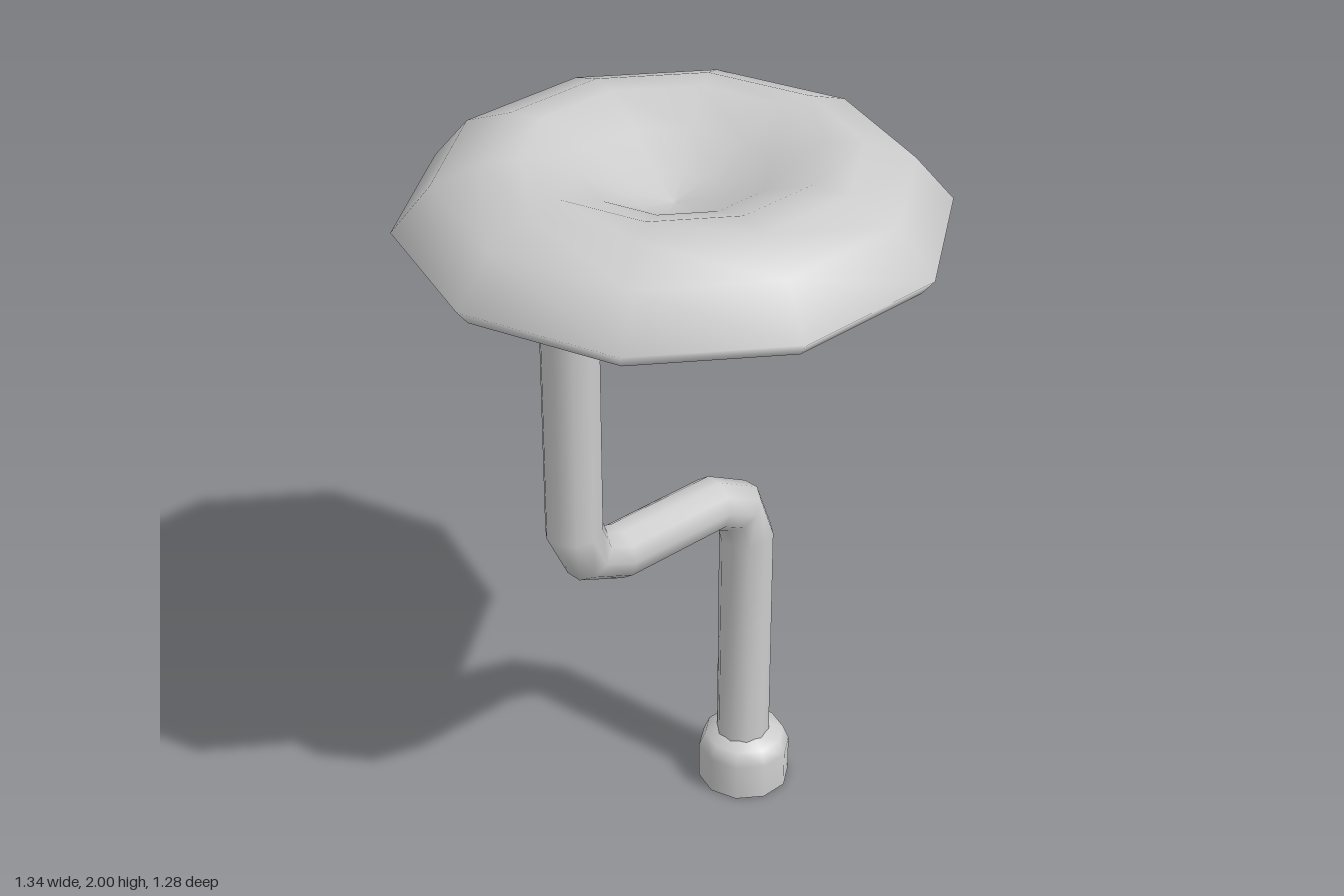
import * as THREE from 'three';

const SIDES = 10;
const material = new THREE.MeshStandardMaterial({ color: 0xcccccc, side: THREE.DoubleSide });

// Ten-sided turned part with a corner on +x; profile runs from bottom to top
function lathe(name, profile) {
  const points = profile.map(([r, y]) => new THREE.Vector2(r, y));
  const mesh = new THREE.Mesh(new THREE.LatheGeometry(points, SIDES, Math.PI / 2), material);
  mesh.name = name;
  return mesh;
}

// Bent pipe: each ring is given by its two opposite edges in the xy plane
function bentPipe(name, rings, depth) {
  const positions = [], index = [], row = SIDES + 1;
  const stretch = 1 / Math.cos(Math.PI / SIDES);
  rings.forEach(([lx, ly, rx, ry], k) => {
    for (let i = 0; i <= SIDES; i++) {
      const t = ((i % SIDES) + 0.5) * 2 * Math.PI / SIDES;
      const c = Math.cos(t) * stretch / 2;
      positions.push((lx + rx) / 2 + c * (rx - lx), (ly + ry) / 2 + c * (ry - ly), Math.sin(t) * depth);
      if (k < rings.length - 1 && i < SIDES) {
        const a = k * row + i;
        index.push(a, a + row, a + 1, a + row, a + row + 1, a + 1);
      }
    }
  });
  const geometry = new THREE.BufferGeometry();
  geometry.setAttribute('position', new THREE.Float32BufferAttribute(positions, 3));
  geometry.setIndex(index);
  geometry.computeVertexNormals();
  // Share the normals across the seam
  const n = geometry.attributes.normal, v = new THREE.Vector3(), w = new THREE.Vector3();
  for (let k = 0; k < rings.length; k++) {
    const a = k * row, b = a + SIDES;
    v.fromBufferAttribute(n, a).add(w.fromBufferAttribute(n, b)).normalize();
    n.setXYZ(a, v.x, v.y, v.z);
    n.setXYZ(b, v.x, v.y, v.z);
  }
  const mesh = new THREE.Mesh(geometry, material);
  mesh.name = name;
  return mesh;
}

export function createModel() {
  const group = new THREE.Group();
  group.name = 'stool';

  // Dished cushion and its flat underside
  group.add(lathe('seat', [
    [0.64, 1.79], [0.672, 1.83], [0.575, 1.945], [0.45, 1.994], [0.36, 2.0],
    [0.23, 1.95], [0.11, 1.89], [0, 1.865],
  ]));
  group.add(lathe('seatUnderside', [[0, 1.79], [0.64, 1.79]]));

  // Cranked post, from the floor socket up to the seat
  group.add(bentPipe('post', [
    [0.188, 0.13, 0.326, 0.13],
    [0.188, 0.80, 0.326, 0.81],
    [0.17, 0.86, 0.272, 0.95],
    [0.12, 0.885, 0.138, 1.022],
    [-0.20, 0.89, -0.20, 1.03],
    [-0.345, 0.953, -0.25, 1.05],
    [-0.41, 1.085, -0.27, 1.10],
    [-0.41, 1.80, -0.27, 1.80],
  ], 0.0715));

  // Hollow socket at the foot
  const socket = lathe('baseSocket', [
    [0.125, 0], [0.125, 0.105], [0.108, 0.146], [0.06, 0.165],
  ]);
  socket.position.x = 0.262;
  group.add(socket);

  return group;
}
